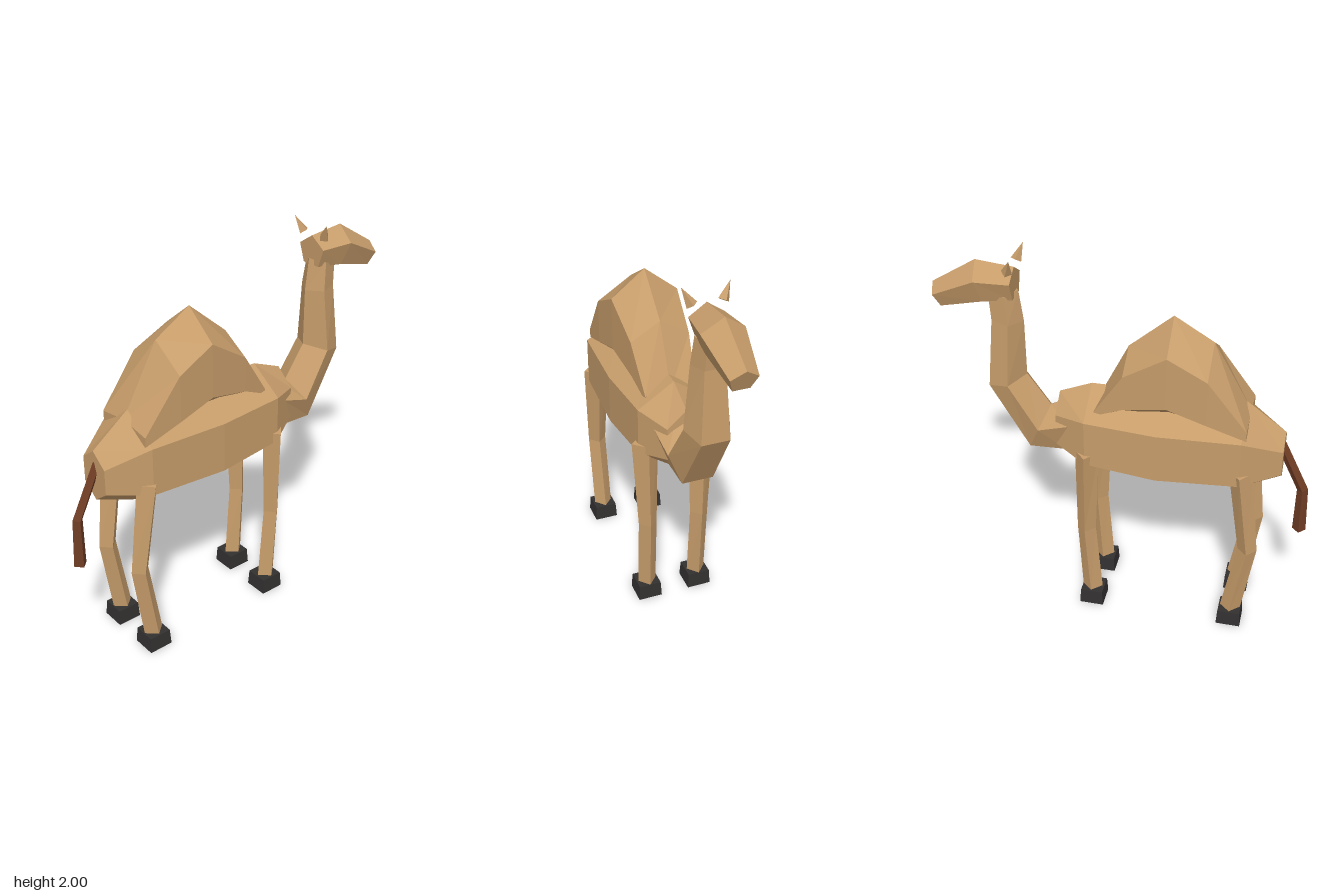
import * as THREE from 'three';

const mat = (name, color) => {
  const m = new THREE.MeshStandardMaterial({ color, flatShading: true });
  m.name = name;
  return m;
};

// Lofts n-sided rings along a path in the xy plane.
// Ring: [centre x, centre y, up x, up y, half width in z, centre z]
function loft(rings, n) {
  const pt = ([x, y, ux, uy, w, z = 0], j) => {
    const a = (j * 2 * Math.PI) / n, c = Math.cos(a);
    return [x + ux * c, y + uy * c, z + w * Math.sin(a)];
  };
  const pos = [];
  const tri = (a, b, c) => pos.push(...a, ...b, ...c);
  for (let i = 0; i < rings.length - 1; i++) {
    for (let j = 0; j < n; j++) {
      const a = pt(rings[i], j), b = pt(rings[i], j + 1);
      const c = pt(rings[i + 1], j + 1), d = pt(rings[i + 1], j);
      tri(a, b, c);
      tri(a, c, d);
    }
  }
  // End caps
  const first = rings[0], last = rings[rings.length - 1];
  for (let j = 1; j < n - 1; j++) {
    tri(pt(first, 0), pt(first, j + 1), pt(first, j));
    tri(pt(last, 0), pt(last, j), pt(last, j + 1));
  }
  const g = new THREE.BufferGeometry();
  g.setAttribute('position', new THREE.Float32BufferAttribute(pos, 3));
  g.computeVertexNormals();
  return g;
}

export function createModel() {
  const model = new THREE.Group();
  model.name = 'camel';
  const coat = mat('tan coat', 0xc69c6a);
  const tailHair = mat('brown tail', 0x6f3d25);
  const horn = mat('dark hoof', 0x333030);
  const add = (name, geometry, material) => {
    const m = new THREE.Mesh(geometry, material);
    m.name = name;
    model.add(m);
    return m;
  };

  // Upright hexagonal ring from its top and bottom heights; w is the flat side's z
  const hex = (x, top, bottom, w) =>
    [x, (top + bottom) / 2, 0, (top - bottom) / 2, w / Math.cos(Math.PI / 6)];

  add('body', loft([
    hex(-0.82, 1.17, 0.90, 0.09),
    hex(-0.62, 1.32, 0.815, 0.20),
    hex(-0.20, 1.32, 0.79, 0.215),
    hex(0.17, 1.32, 0.82, 0.19),
    hex(0.34, 1.25, 0.90, 0.10),
  ], 6), coat);

  add('hump', loft([
    hex(-0.64, 1.275, 1.175, 0.175),
    hex(-0.44, 1.63, 1.15, 0.185),
    hex(-0.24, 1.75, 1.19, 0.177),
    hex(-0.02, 1.56, 1.19, 0.155),
    hex(0.13, 1.25, 1.20, 0.135),
  ], 6), coat);

  // Five-sided neck, ridge at the back
  add('neck', loft([
    [0.27, 1.08, -0.03, 0.16, 0.147],
    [0.445, 1.038, -0.055, 0.122, 0.137],
    [0.61, 1.302, -0.10, 0.028, 0.122],
    [0.593, 1.64, -0.083, -0.008, 0.088],
    [0.607, 1.78, -0.077, 0.02, 0.075],
  ], 5), coat);

  // Five-sided head, ridge on top
  add('head', loft([
    [0.545, 1.835, 0, 0.085, 0.09],
    [0.715, 1.835, 0.025, 0.105, 0.11],
    [0.944, 1.739, 0.026, 0.061, 0.07],
  ], 5), coat);

  add('tail', loft([
    [-0.80, 1.10, 0.025, -0.01, 0.02],
    [-0.932, 0.83, 0.028, -0.005, 0.026],
    [-0.937, 0.57, 0.035, 0, 0.035],
  ], 4), tailHair);

  // Leg centre x at top, knee and ankle
  const legs = { frontLeg: [0.165, 0.177, 0.15], rearLeg: [-0.625, -0.687, -0.62] };
  const hoof = new THREE.CylinderGeometry(0.06 * Math.SQRT2, 0.065 * Math.SQRT2, 0.085, 4);
  hoof.rotateY(Math.PI / 4);

  for (const [side, s] of [['Right', 1], ['Left', -1]]) {
    for (const [name, [top, knee, ankle]] of Object.entries(legs)) {
      add(name + side, loft([
        [top, 1.0, 0.062, 0, 0.07, s * 0.153],
        [knee, 0.5, 0.05, 0, 0.05, s * 0.145],
        [ankle, 0.08, 0.055, 0, 0.05, s * 0.143],
      ], 4), coat);
      add(name + side + 'Hoof', hoof, horn)
        .position.set(ankle - (name === 'frontLeg' ? 0.005 : 0), 0.0425, s * 0.143);
    }

    // Ears: small pointed cones leaning outwards
    const base = new THREE.Vector3(0.557, 1.922, s * 0.074);
    const tip = new THREE.Vector3(0.53, 2.0, s * 0.115);
    const axis = tip.clone().sub(base);
    const ear = add('ear' + side, new THREE.ConeGeometry(0.028, axis.length(), 4), coat);
    ear.position.copy(base).add(tip).multiplyScalar(0.5);
    ear.quaternion.setFromUnitVectors(new THREE.Vector3(0, 1, 0), axis.normalize());
  }

  return model;
}
